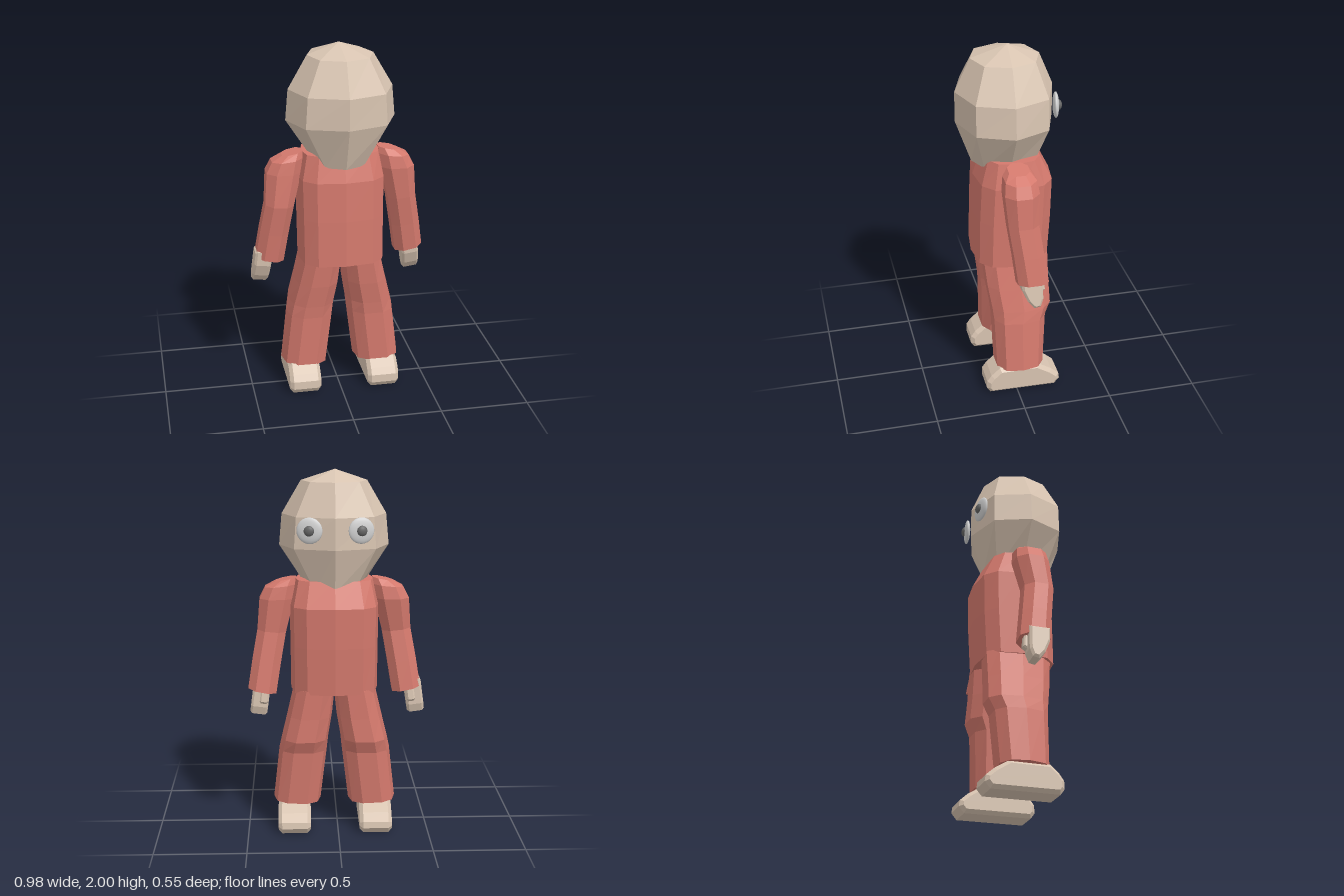
import * as THREE from 'three';

const mat = (name, color) => {
  const m = new THREE.MeshStandardMaterial({ color, flatShading: true });
  m.name = name;
  return m;
};

// Lofted solid from rings listed bottom to top: [y, x, z, rx, rz, tilt].
// p > 2 squares the section; tilt raises the ring along x.
function loft(rings, sides, p = 2, phase = 0) {
  const pow = (v) => Math.sign(v) * Math.abs(v) ** (2 / p);
  const point = ([y, x, z, rx, rz, tilt = 0], i) => {
    const a = phase + (i / sides) * Math.PI * 2;
    const dx = rx * pow(Math.cos(a));
    return [x + dx, y + tilt * dx, z + rz * pow(Math.sin(a))];
  };
  const out = [];
  const first = rings[0], last = rings[rings.length - 1];
  for (let i = 0; i < sides; i++) {
    for (let k = 0; k + 1 < rings.length; k++) {
      const a = point(rings[k], i), b = point(rings[k], i + 1);
      const c = point(rings[k + 1], i), d = point(rings[k + 1], i + 1);
      out.push(...a, ...c, ...b, ...b, ...c, ...d);
    }
    out.push(first[1], first[0], first[2], ...point(first, i), ...point(first, i + 1));
    out.push(last[1], last[0], last[2], ...point(last, i + 1), ...point(last, i));
  }
  const g = new THREE.BufferGeometry();
  g.setAttribute('position', new THREE.Float32BufferAttribute(out, 3));
  g.computeVertexNormals();
  return g;
}

// Side profile of [z, y] points, given thickness across x and centred there
function sideExtrude(points, width, bevel) {
  const shape = new THREE.Shape(points.map(([z, y]) => new THREE.Vector2(-z, y)));
  const g = new THREE.ExtrudeGeometry(shape, {
    depth: width - 2 * bevel, bevelEnabled: true, bevelSegments: 1,
    bevelThickness: bevel, bevelSize: bevel, bevelOffset: -bevel,
  });
  g.translate(0, 0, bevel - width / 2);
  g.rotateY(Math.PI / 2);
  return g;
}

export function createModel() {
  const model = new THREE.Group();
  const skin = mat('skin', 0xd8c4b1);
  const cloth = mat('red cloth', 0xd4796d);
  const white = mat('eye white', 0xd2d2d2);
  const dark = mat('pupil grey', 0x666666);
  white.flatShading = dark.flatShading = false;

  const add = (name, geometry, material, parent = model) => {
    const m = new THREE.Mesh(geometry, material);
    m.name = name;
    parent.add(m);
    return m;
  };
  const mid = 0.017;

  // Faceted head with a low pointed crown
  add('head', loft([
    [1.35, mid, 0.005, 0.145, 0.185],
    [1.59, mid, 0.01, 0.3, 0.265],
    [1.76, mid, 0.01, 0.285, 0.265],
    [1.94, mid, 0.005, 0.18, 0.185],
    [2.0, mid - 0.005, -0.01, 0.002, 0.002],
  ], 8, 2.2), skin);

  // Jacket body with sloping shoulders
  add('torso', loft([
    [0.79, mid, -0.01, 0.24, 0.21],
    [1.05, mid, -0.02, 0.242, 0.215],
    [1.27, mid, -0.028, 0.245, 0.212],
    [1.41, mid, -0.015, 0.215, 0.155],
  ], 12, 3), cloth);

  for (const s of [-1, 1]) {
    const side = s > 0 ? 'left' : 'right';
    const X = (x) => mid + s * x;

    // Sleeve
    const dz = s > 0 ? 0 : 0.03;
    add(side + 'Sleeve', loft([
      [0.79, X(0.4), -0.055 + dz, 0.083, 0.09, s * 0.2],
      [0.95, X(0.375), -0.035 + dz, 0.084, 0.088, s * 0.15],
      [1.12, X(0.345), -0.012 + dz, 0.084, 0.088, s * 0.1],
      [1.3, X(0.315), -0.008, 0.102, 0.1, 0],
      [1.37, X(0.295), -0.008, 0.09, 0.09, -s * 0.1],
      [1.405, X(0.265), -0.008, 0.06, 0.06, -s * 0.2],
    ], 8, 2.3, Math.PI / 8), cloth);

    // Hand with a thumb
    const hand = new THREE.Group();
    hand.name = side + 'Hand';
    hand.position.set(s * 0.418, 0.82, -0.045 + dz);
    hand.rotation.z = s * 0.13;
    model.add(hand);
    add('palm', sideExtrude([
      [0.06, 0.02], [0.055, -0.06], [0.025, -0.13], [-0.01, -0.172],
      [-0.045, -0.165], [-0.06, -0.12], [-0.055, 0.02],
    ], 0.095, 0.012), skin, hand);
    const thumb = add('thumb', sideExtrude([
      [-0.03, 0], [-0.03, -0.05], [-0.06, -0.1], [-0.08, -0.085], [-0.07, 0],
    ], 0.045, 0.008), skin, hand);
    thumb.position.x = -s * 0.02;

    // Wide trouser leg with a bulging knee
    add(side + 'TrouserLeg', loft([
      [0.15, X(0.21), -0.025, 0.132, 0.138, s * 0.04],
      [0.45, X(0.175), -0.03, 0.134, 0.152],
      [0.52, X(0.164), -0.042, 0.13, 0.172],
      [0.65, X(0.137), -0.03, 0.125, 0.18],
      [0.81, X(0.11), -0.022, 0.115, 0.188],
    ], 10, 2.6), cloth);

    // Shoe
    const shoe = add(side + 'Shoe', sideExtrude([
      [0.155, 0.005], [0.177, 0.035], [0.175, 0.08], [0.15, 0.115], [0.1, 0.16],
      [-0.12, 0.16], [-0.2, 0.11], [-0.245, 0.07], [-0.25, 0.035], [-0.22, 0],
    ], 0.18, 0.02), skin);
    shoe.position.x = X(0.226);

    // Button eye on the face
    const eye = new THREE.Group();
    eye.name = side + 'Eye';
    eye.position.set(X(0.137), 1.695, -0.238);
    eye.rotation.set(0.02, -s * 0.2, 0);
    model.add(eye);
    add('eyeball', new THREE.SphereGeometry(0.07, 20, 12).scale(1, 1, 0.25), white, eye);
    add('pupil', new THREE.SphereGeometry(0.028, 16, 10).scale(1, 1, 0.6), dark, eye)
      .position.z = -0.016;
  }
  return model;
}
